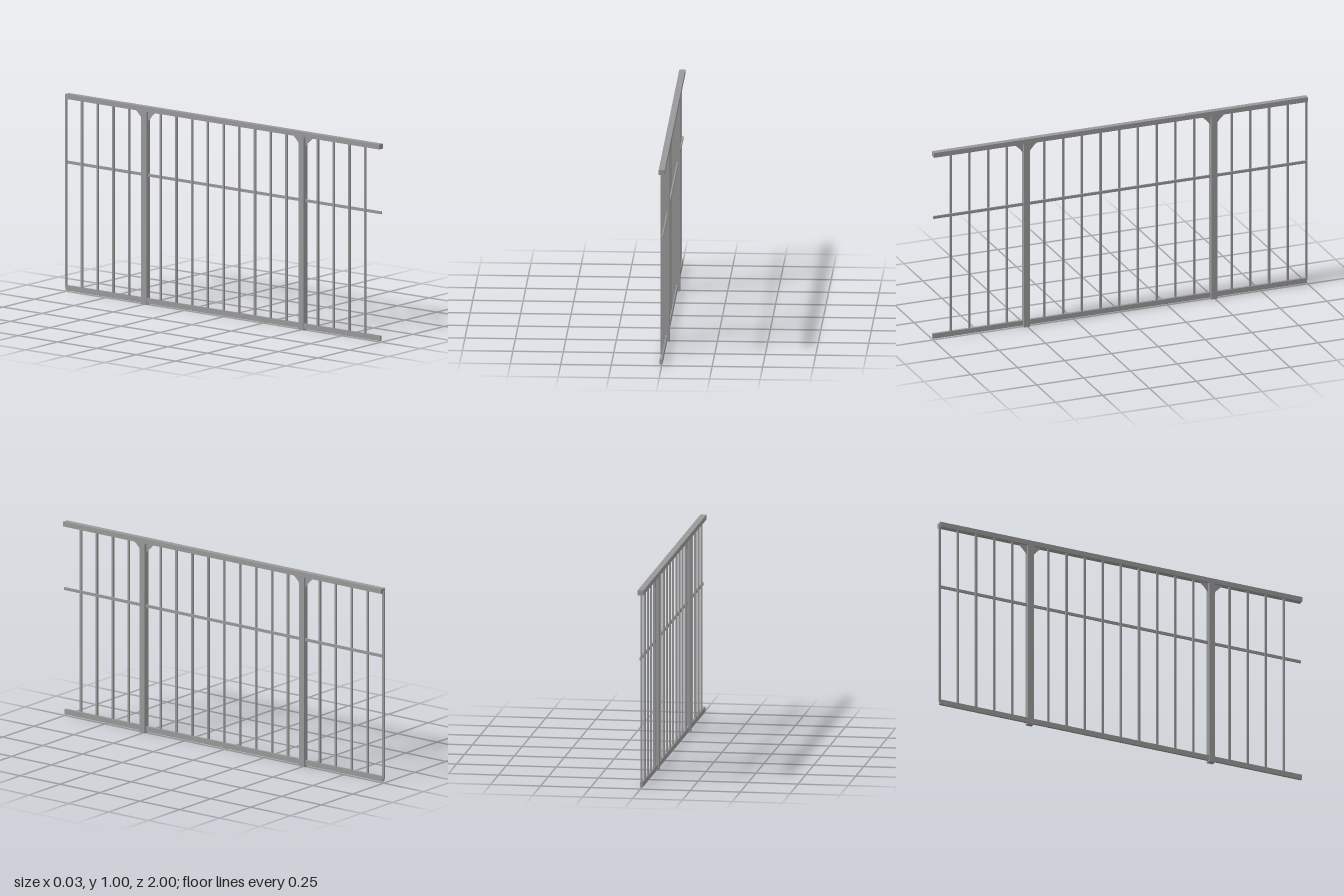
import * as THREE from 'three';

export function createModel() {
  const group = new THREE.Group();
  const steel = new THREE.MeshStandardMaterial({ color: 0x999999 });
  steel.name = 'grey steel';

  // Box given by its extents along each axis
  const bar = (name, [x0, x1], [y0, y1], [z0, z1]) => {
    const mesh = new THREE.Mesh(new THREE.BoxGeometry(x1 - x0, y1 - y0, z1 - z0), steel);
    mesh.position.set((x0 + x1) / 2, (y0 + y1) / 2, (z0 + z1) / 2);
    mesh.name = name;
    group.add(mesh);
  };

  // Long rails
  const length = [-0.996, 1];
  bar('handrail', [-0.015, 0.015], [0.975, 1], length);
  bar('middleRail', [-0.001, 0.006], [0.646, 0.66], length);
  bar('bottomRail', [-0.01, 0.003], [0.007, 0.033], length);

  // Corner bracket with a shallow concave edge
  const outline = new THREE.Shape();
  outline.moveTo(0, 0);
  outline.lineTo(0.05, 0);
  outline.quadraticCurveTo(0.021, -0.021, 0, -0.052);
  outline.closePath();
  const bracketGeometry = new THREE.ExtrudeGeometry(outline, { depth: 0.002, bevelEnabled: false, curveSegments: 6 });
  bracketGeometry.translate(0, 0, -0.001);

  // Balusters, with every tenth position taken by a post and its brackets
  for (let i = 0; i < 20; i++) {
    const z = -0.995 + i * 0.0999;
    if (i % 10 !== 5) {
      bar('baluster', [-0.01, -0.001], [0.02, 0.985], [z - 0.005, z + 0.005]);
      continue;
    }
    bar('post', [-0.015, 0.015], [0, 0.976], [z - 0.016, z + 0.016]);
    for (const side of [1, -1]) {
      const bracket = new THREE.Mesh(bracketGeometry, steel);
      bracket.rotation.y = -side * Math.PI / 2;
      bracket.position.set(0, 0.975, z + side * 0.015);
      bracket.name = 'bracket';
      group.add(bracket);
    }
  }
  return group;
}
